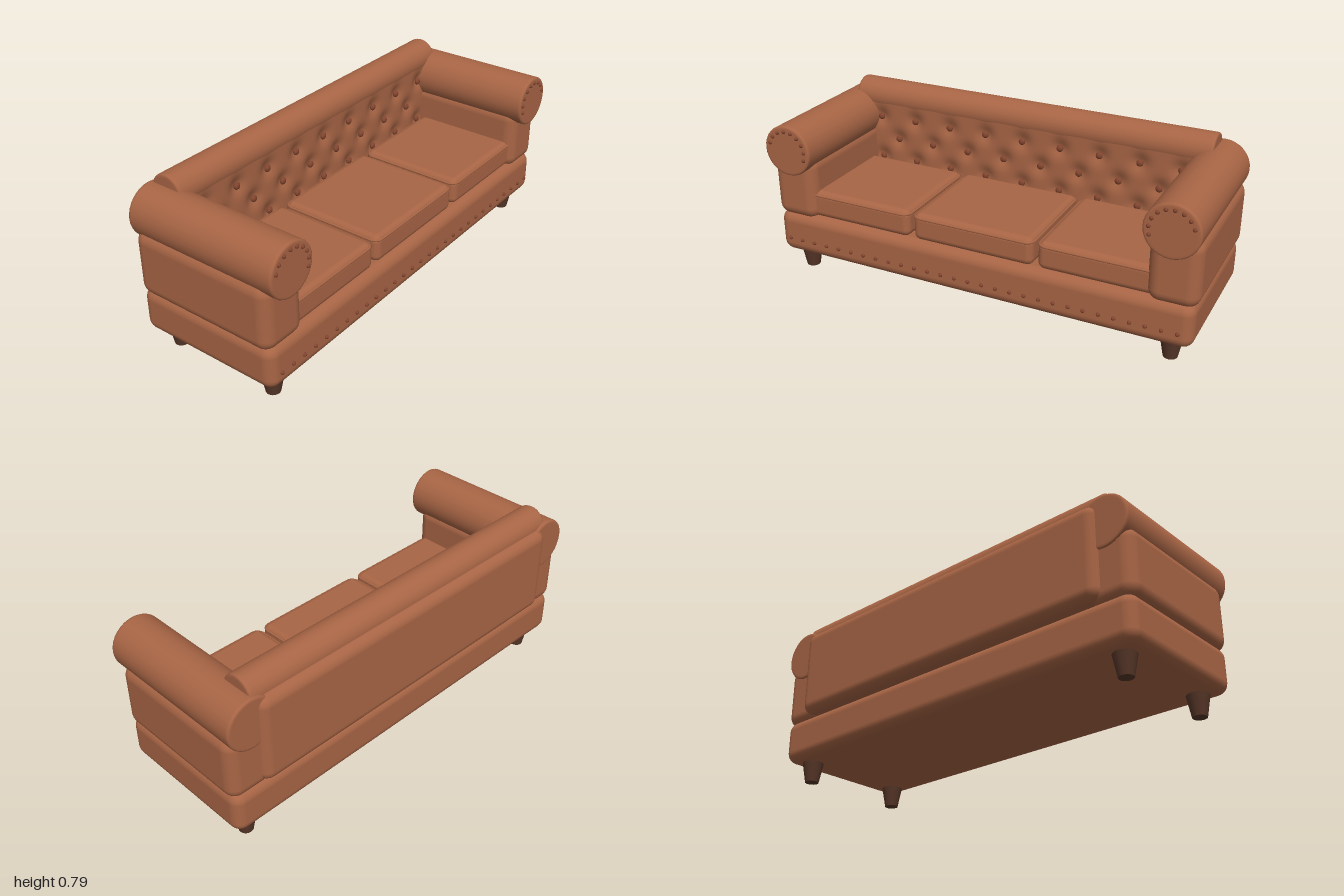
import * as THREE from 'three';
import { RoundedBoxGeometry } from 'three/addons/geometries/RoundedBoxGeometry.js';

const mat = (name, color) => {
  const m = new THREE.MeshStandardMaterial({ color });
  m.name = name;
  return m;
};

export function createModel() {
  const sofa = new THREE.Group();
  sofa.name = 'sofa';
  const leather = mat('leather', 0xa86545);
  const stud = mat('studLeather', 0x82452f);
  const wood = mat('darkWood', 0x583729);

  const add = (name, geometry, material, x = 0, y = 0, z = 0) => {
    const mesh = new THREE.Mesh(geometry, material);
    mesh.name = name;
    mesh.position.set(x, y, z);
    sofa.add(mesh);
    return mesh;
  };

  // Rounded block given by its extents
  const block = (name, [x0, x1], [y0, y1], [z0, z1], r) =>
    add(name, new RoundedBoxGeometry(x1 - x0, y1 - y0, z1 - z0, 4, r), leather,
      (x0 + x1) / 2, (y0 + y1) / 2, (z0 + z1) / 2);

  // Cylinder along y with softly bevelled rims
  const roll = (r, length) => {
    const h = length / 2, b = 0.008;
    const half = [[0, h], [r - 2 * b, h], [r - b, h], [r - 0.3 * b, h - 0.3 * b], [r, h - b], [r, h - 2 * b]];
    const top = half.map(([x, y]) => new THREE.Vector2(x, y));
    const bottom = half.map(([x, y]) => new THREE.Vector2(x, -y));
    return new THREE.LatheGeometry([...bottom, ...top.reverse()], 32);
  };

  // Base
  block('base', [-0.99, 0.99], [0.093, 0.297], [-0.35, 0.341], 0.05);

  // Row of nails along the base front
  const nail = new THREE.SphereGeometry(0.009, 10, 8);
  for (let i = 0; i < 29; i++) add('baseNail', nail, stud, -0.931 + i * 0.0665, 0.168, 0.343);

  // Arms with scrolled tops, nail arcs and legs
  for (const s of [1, -1]) {
    const xs = s > 0 ? [0.782, 1.0] : [-1.0, -0.782];
    block('arm', xs, [0.275, 0.578], [-0.348, 0.338], 0.055);
    add('armRoll', roll(0.117, 0.726).rotateX(Math.PI / 2), leather, s * 0.883, 0.62, 0.008);
    for (let i = 0; i < 9; i++) {
      const a = THREE.MathUtils.degToRad(-18 + i * 22.5);
      add('armNail', nail, stud, s * (0.883 - Math.cos(Math.PI - a) * -0.092 * -1), 0.62 + Math.sin(a) * 0.092, 0.371)
        .position.x = s * (0.883 - Math.cos(a) * 0.092);
    }
    for (const z of [0.249, -0.257])
      add('leg', new THREE.CylinderGeometry(0.05, 0.031, 0.1, 20), wood, s * 0.885, 0.05, z);
  }

  // Backrest body and its rolled top
  block('back', [-0.86, 0.86], [0.297, 0.717], [-0.378, -0.215], 0.05);
  add('backRoll', roll(0.078, 1.75).rotateZ(Math.PI / 2), leather, 0, 0.711, -0.265);

  // Button positions, in staggered rows
  const buttons = [];
  for (const [y, n] of [[0.62, 9], [0.517, 8], [0.415, 9]])
    for (let i = 0; i < n; i++) buttons.push([(i - (n - 1) / 2) * 0.187, y]);

  // Tufted panel: a plane pressed in around every button
  const panel = new THREE.PlaneGeometry(1.66, 0.38, 166, 38).translate(0, 0.51, 0);
  const p = panel.attributes.position;
  for (let i = 0; i < p.count; i++) {
    let z = -0.19;
    for (const [bx, by] of buttons) {
      const d2 = (p.getX(i) - bx) ** 2 + (p.getY(i) - by) ** 2;
      z -= 0.02 * Math.exp(-d2 / 0.0016);
    }
    p.setZ(i, z);
  }
  panel.computeVertexNormals();
  const tufted = leather.clone();
  tufted.side = THREE.DoubleSide;
  add('tuftedPanel', panel, tufted);

  const button = new THREE.SphereGeometry(0.016, 14, 10).scale(1, 1, 0.7);
  for (const [x, y] of buttons) add('button', button, stud, x, y, -0.197);

  // Seat cushions with piping around the upper edge
  const w = 0.283, d = 0.248, r = 0.035;
  const outline = new THREE.Shape();
  outline.absarc(w - r, d - r, r, 0, Math.PI / 2);
  outline.absarc(r - w, d - r, r, Math.PI / 2, Math.PI);
  outline.absarc(r - w, r - d, r, Math.PI, Math.PI * 1.5);
  outline.absarc(w - r, r - d, r, Math.PI * 1.5, Math.PI * 2);
  outline.closePath();
  const loop = outline.getSpacedPoints(120).slice(0, -1).map(q => new THREE.Vector3(q.x, 0, q.y));
  const piping = new THREE.TubeGeometry(new THREE.CatmullRomCurve3(loop, true), 160, 0.006, 8, true);
  for (const x of [-0.592, 0, 0.592]) {
    block('cushion', [x - w - 0.002, x + w + 0.002], [0.29, 0.418], [-0.19, 0.312], 0.032);
    add('cushionPiping', piping, leather, x, 0.399, 0.061);
  }

  return sofa;
}
